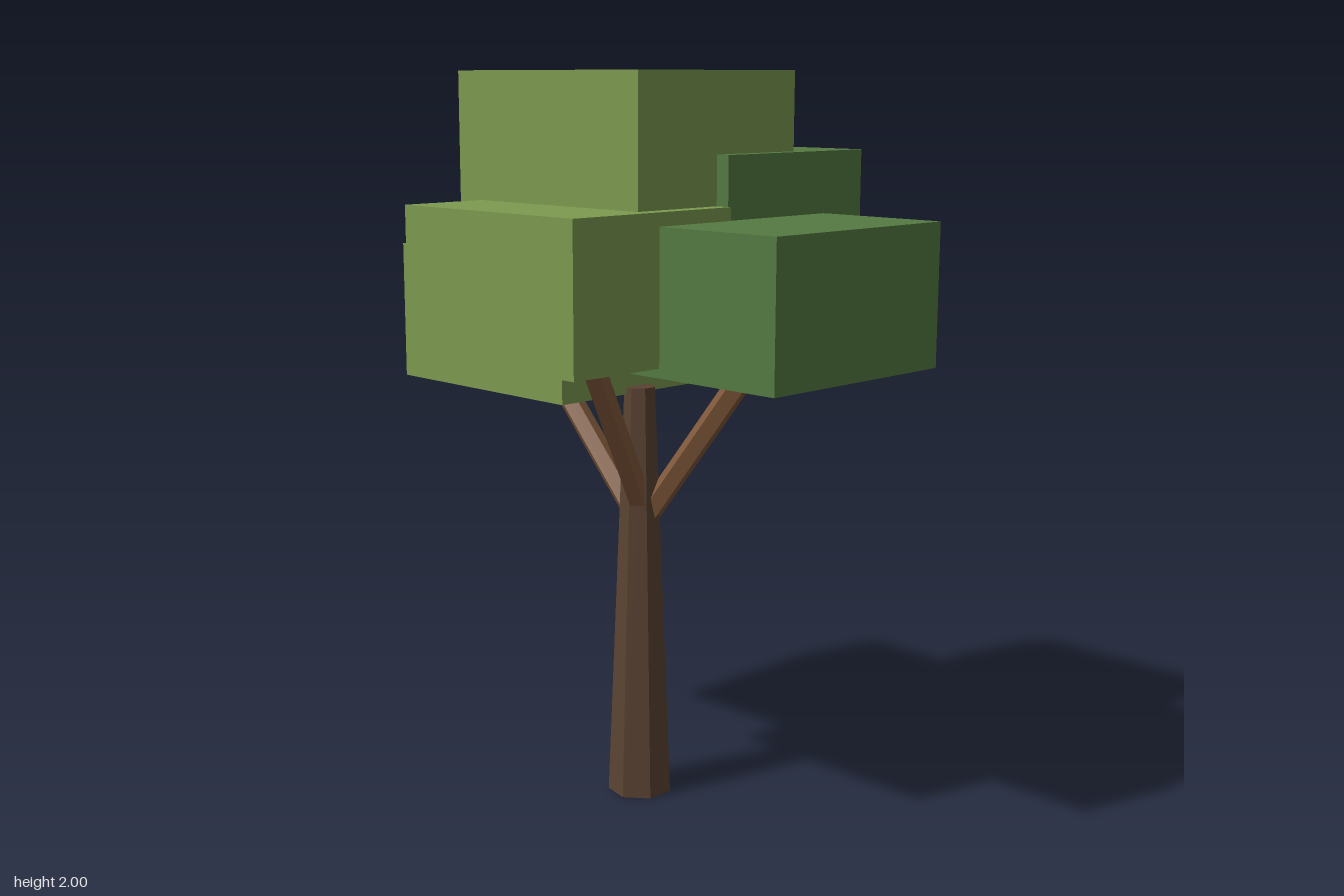
import * as THREE from 'three';

const material = (color) => new THREE.MeshStandardMaterial({ color, flatShading: true });

export function createModel() {
  const tree = new THREE.Group();
  tree.name = 'tree';

  const lightLeaf = material(0x7c9a50);
  const darkLeaf = material(0x547a42);
  const bark = material(0x5a4332);
  const branchBark = material(0x80583a);
  const red = material(0xa83c32);

  const add = (name, geometry, mat) => {
    const mesh = new THREE.Mesh(geometry, mat);
    mesh.name = name;
    tree.add(mesh);
    return mesh;
  };

  // Box given by its lowest and highest corner
  const block = (name, min, max, mat) => {
    const size = max.map((v, i) => v - min[i]);
    const mesh = add(name, new THREE.BoxGeometry(...size), mat);
    mesh.position.set(...max.map((v, i) => (v + min[i]) / 2));
  };

  // Straight limb between two points
  const branch = (name, from, to) => {
    const a = new THREE.Vector3(...from);
    const b = new THREE.Vector3(...to);
    const mesh = add(name, new THREE.CylinderGeometry(0.034, 0.034, a.distanceTo(b), 5), branchBark);
    mesh.position.copy(a).lerp(b, 0.5);
    mesh.quaternion.setFromUnitVectors(new THREE.Vector3(0, 1, 0), b.sub(a).normalize());
  };

  // Tapered seven-sided trunk
  const trunk = add('trunk', new THREE.CylinderGeometry(0.043, 0.09, 1.16, 7, 1, false, -Math.PI / 2), bark);
  trunk.position.set(-0.01, 0.58, 0);

  // Branches reaching into the foliage
  branch('leftBranch', [0.005, 0.8, -0.015], [0.375, 1.35, -0.125]);
  branch('rightBranch', [-0.03, 0.8, 0], [-0.43, 1.235, 0]);
  branch('frontBranch', [0.0, 0.8, -0.005], [0.06, 1.37, 0.295]);

  // Foliage blocks
  block('topFoliage', [-0.42, 1.625, -0.295], [0.27, 2, 0.28], lightLeaf);
  block('rightFoliage', [-0.7, 1.14, -0.29], [-0.025, 1.52, 0.27], lightLeaf);
  block('frontFoliage', [-0.33, 1.275, -0.005], [0.315, 1.66, 0.535], lightLeaf);
  block('leftFoliage', [-0.06, 1.25, -0.375], [0.695, 1.625, 0.25], darkLeaf);
  block('backFoliage', [-0.33, 1.415, -0.53], [0.31, 1.79, 0.0], darkLeaf);

  // Small red piece set into the back foliage
  block('fruit', [-0.167, 1.545, -0.535], [-0.1, 1.622, -0.47], red);

  return tree;
}
